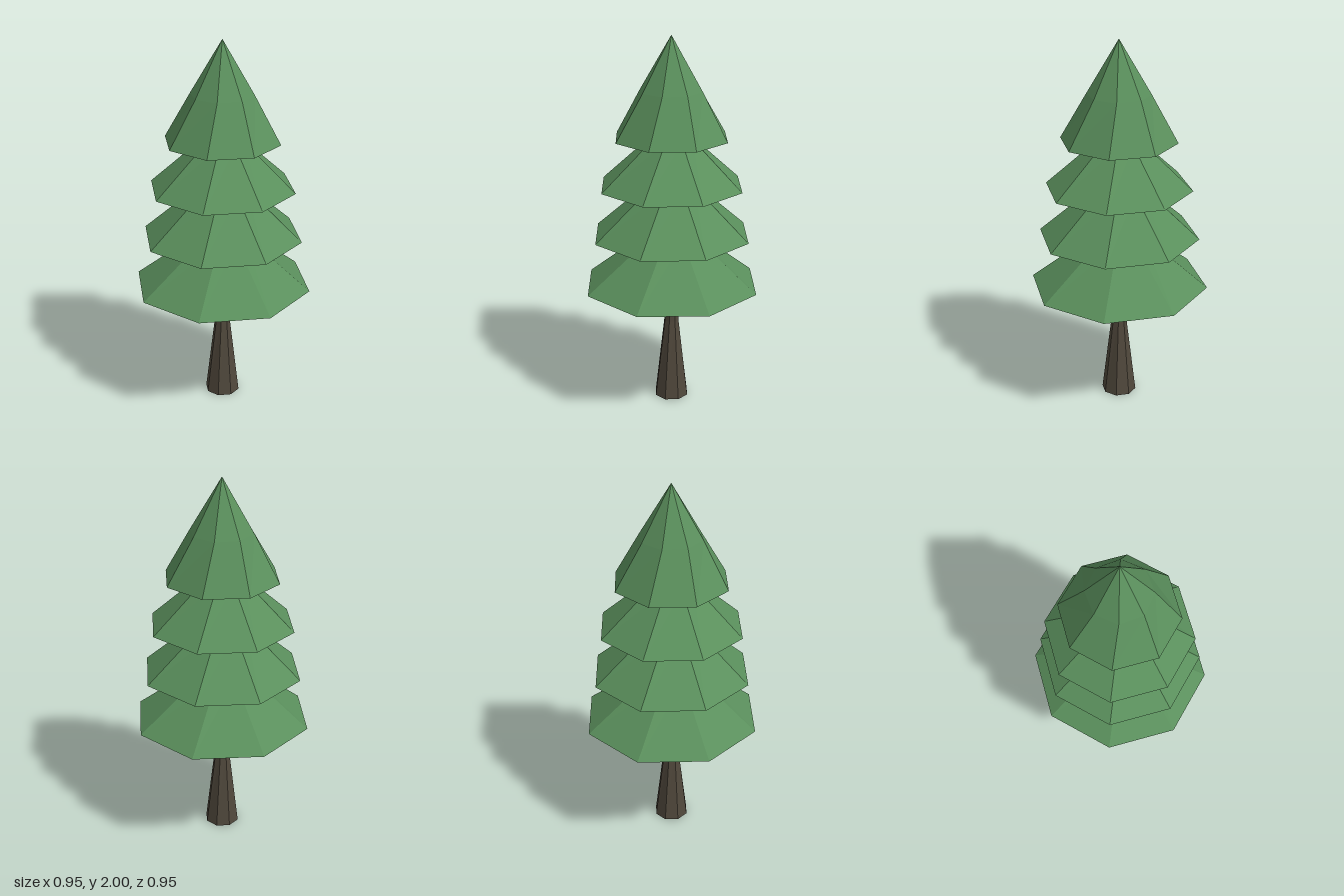
import * as THREE from 'three';

const SIDES = 8;
const TWIST = THREE.MathUtils.degToRad(5.4);

// Faceted skin through rings [radius, height, twist], listed from bottom to top
function ringSkin(rings) {
  const positions = [];
  const corner = ([r, y, twist], i) => {
    const a = (i / SIDES) * Math.PI * 2 + twist;
    return [r * Math.cos(a), y, r * Math.sin(a)];
  };
  for (let k = 0; k < rings.length - 1; k++) {
    const lower = rings[k], upper = rings[k + 1];
    for (let i = 0; i < SIDES; i++) {
      const a = corner(lower, i), b = corner(lower, i + 1);
      const c = corner(upper, i + 1), d = corner(upper, i);
      if (lower[0] > 0) positions.push(...a, ...d, ...b);
      if (upper[0] > 0) positions.push(...b, ...d, ...c);
    }
  }
  const geometry = new THREE.BufferGeometry();
  geometry.setAttribute('position', new THREE.Float32BufferAttribute(positions, 3));
  geometry.computeVertexNormals();
  return geometry;
}

function addPart(group, name, rings, color) {
  const material = new THREE.MeshStandardMaterial({ color, flatShading: true });
  const mesh = new THREE.Mesh(ringSkin(rings), material);
  mesh.name = name;
  group.add(mesh);
}

export function createModel() {
  const group = new THREE.Group();
  group.name = 'pineTree';

  // Trunk, flared at the foot and closed underneath
  addPart(group, 'trunk', [
    [0, 0, TWIST], [0.094, 0, TWIST], [0.04, 0.45, 0], [0.033, 0.64, 0], [0.033, 0.67, 0],
  ], 0x50483c);

  // Foliage tiers: flat underside from the inner ring, wide rim, slope to the next tier
  const tiers = [
    { name: 'bottomTier', inner: 0, rim: 0.477, y: 0.67, top: [0.125, 0.95, 0] },
    { name: 'lowerTier', inner: 0.125, rim: 0.428, y: 0.95, top: [0.125, 1.22, 0] },
    { name: 'upperTier', inner: 0.125, rim: 0.388, y: 1.22, top: [0.11, 1.475, 0] },
    { name: 'crownTier', inner: 0.11, rim: 0.306, y: 1.475, top: [0.165, 1.72, 0], tip: [0, 2, 0] },
  ];
  for (const { name, inner, rim, y, top, tip } of tiers) {
    const rings = [[inner, y, 0], [rim, y, TWIST], top];
    if (tip) rings.push(tip);
    addPart(group, name, rings, 0x5a8f5c);
  }
  return group;
}
